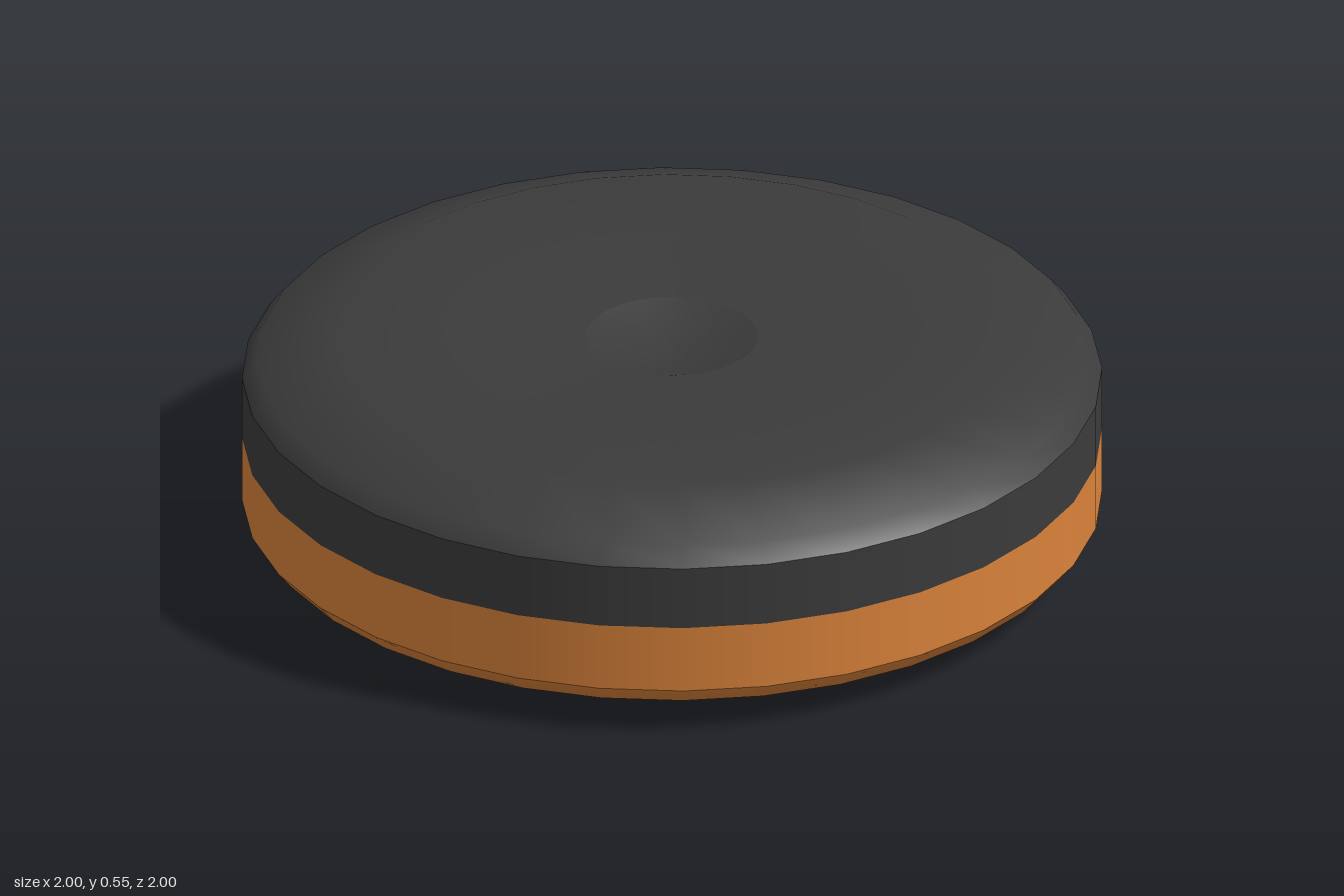
import * as THREE from 'three';

const SIDES = 32;
const HEIGHT = 0.55;
const SCALE = 1 / Math.cos(Math.PI / SIDES); // flats, not corners, reach the full width

// [radius, distance in from the flat side], split where the edges are sharp
const dimple = [[0, 0.06], [0.07, 0.053], [0.14, 0.037], [0.2, 0.018]];
const face = [[0.2, 0.018], [0.5, 0.008], [0.79, 0], [0.965, 0.072], [1, 0.115]];

function ring(name, points, material) {
  const profile = points.map(([r, y]) => new THREE.Vector2(r * SCALE, y));
  const geometry = new THREE.LatheGeometry(profile, SIDES, Math.PI / SIDES);
  const mesh = new THREE.Mesh(geometry, material);
  mesh.name = name;
  return mesh;
}

// One coloured half: dimple, dished face with rounded shoulder, and straight wall
function half(name, color, seam, isTop) {
  const material = new THREE.MeshStandardMaterial({ color });
  const place = (points) => isTop
    ? points.map(([r, d]) => [r, HEIGHT - d]).reverse()
    : points;
  const wall = isTop ? [[1, seam], [1, HEIGHT - 0.115]] : [[1, 0.115], [1, seam]];
  const group = new THREE.Group();
  group.name = name;
  group.add(
    ring(name + 'Dimple', place(dimple), material),
    ring(name + 'Face', place(face), material),
    ring(name + 'Wall', wall, material),
  );
  return group;
}

export function createModel() {
  const model = new THREE.Group();
  model.name = 'disc';
  model.add(half('lowerHalf', 0xd9823a, 0.28, false));
  model.add(half('upperHalf', 0x3b3b3b, 0.28, true));
  return model;
}
